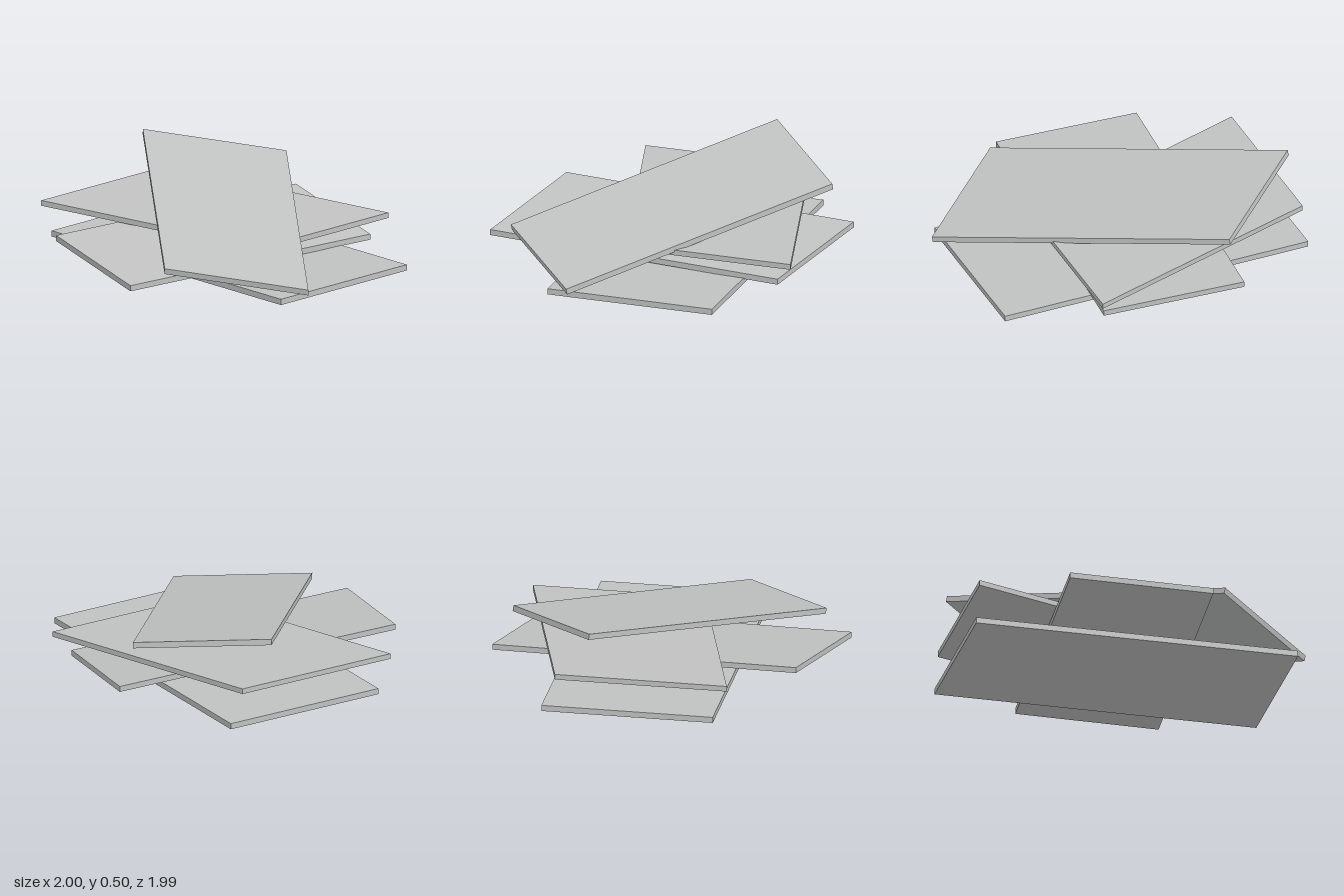
import * as THREE from 'three';

// Slab from its top face: back-left corner, edge across, edge to the front, and drop to the underside
function slab(name, corner, across, forward, drop, material) {
  const u = new THREE.Vector3(...across);
  const w = new THREE.Vector3(...forward);
  const v = new THREE.Vector3(...drop).negate();
  const centre = new THREE.Vector3(...corner)
    .addScaledVector(u, 0.5).addScaledVector(w, 0.5).addScaledVector(v, -0.5);
  const skew = new THREE.Matrix4().makeBasis(u, v, w).setPosition(centre);
  const mesh = new THREE.Mesh(new THREE.BoxGeometry(1, 1, 1).applyMatrix4(skew), material);
  mesh.name = name;
  return mesh;
}

export function createModel() {
  const group = new THREE.Group();
  group.name = 'slabPile';
  const stone = new THREE.MeshStandardMaterial({ color: 0xc0c2c1 });
  stone.name = 'light grey';

  group.add(
    // flat slab on the ground
    slab('baseSlab', [-1, 0.035, -0.605], [1.92, 0, 0], [0, 0, 1.01], [0, -0.035, 0], stone),
    // skewed slab leaning down to the left
    slab('lowerSlab', [-0.42, 0.153, -1], [0.81, -0.092, 0.18], [-0.12, 0.037, 1.81], [0, -0.034, 0], stone),
    // gently sloping slab
    slab('middleSlab', [-1, 0.235, -0.525], [1.44, -0.054, -0.393], [0, 0, 1.013], [0, -0.032, 0], stone),
    // steep slab on top, laid diagonally
    slab('topSlab', [-0.995, 0.5, -0.323], [1.377, -0.31, 1.145], [0.618, -0.112, -0.56], [-0.005, -0.034, -0.004], stone)
  );
  // the top slab's edges run the other way round, so rebuild it with its axes in order
  group.remove(group.getObjectByName('topSlab'));
  group.add(slab('topSlab', [-0.377, 0.388, -0.883], [1.377, -0.31, 1.145], [-0.618, 0.112, 0.56], [-0.005, -0.034, -0.004], stone));
  return group;
}
